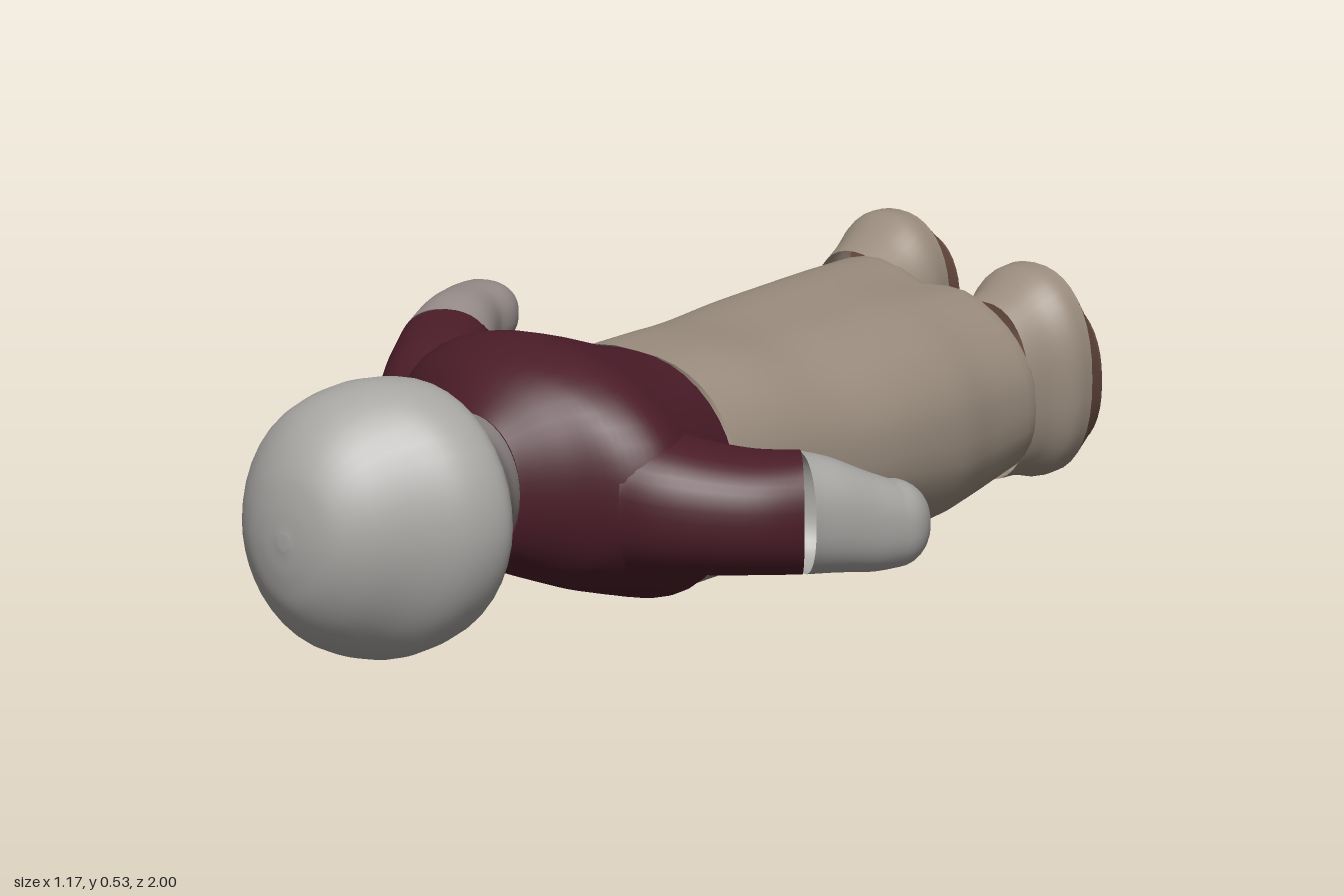
import * as THREE from 'three';

const COLORS = { skin: 0xa8a6a3, neck: 0x82797a, hand: 0x958b88, shirt: 0x4a1c28, trousers: 0x9a8c7e, shoe: 0x745448 };
const SIDES = 40;

// Skin a smooth surface over cross-sections [x, y, z, halfWidth, halfHeight, groove, tilt].
// cap0 / cap1 are the lengths of the rounded ends (0 leaves the end open);
// top and bottom square off the upper and lower half of the section.
function loft(name, color, rows, { cap0 = 0, cap1 = 0, top = 2.3, bottom = 2.3, straight = true } = {}) {
  const curve = pick => new THREE.CatmullRomCurve3(rows.map(r => new THREE.Vector3(...pick(r))), false, 'catmullrom', 0.5);
  const spine = curve(r => [r[0], r[1], r[2]]);
  const size = curve(r => [r[3], r[4], 0]);
  const extra = curve(r => [r[5] ?? 0, r[6] ?? 0, 0]);

  // Stations along the spine: t, scale and offset along the direction of travel
  const stations = [];
  const CAP = 8, STEPS = (rows.length - 1) * 6;
  const capStation = (t, i, length) => {
    const a = (i / CAP) * Math.PI / 2;
    return [t, Math.max(Math.sin(a), 0.002), length * Math.cos(a)];
  };
  if (cap0) for (let i = 0; i < CAP; i++) stations.push(capStation(0, i, -cap0));
  for (let i = 0; i <= STEPS; i++) stations.push([i / STEPS, 1, 0]);
  if (cap1) for (let i = CAP - 1; i >= 0; i--) stations.push(capStation(1, i, cap1));

  const up = new THREE.Vector3(0, 1, 0);
  const pos = [], index = [];
  stations.forEach(([t, scale, offset], i) => {
    const c = spine.getPoint(t), s = size.getPoint(t), e = extra.getPoint(t);
    const dir = straight ? new THREE.Vector3(0, 0, 1) : spine.getTangent(t).setY(0).normalize();
    const side = new THREE.Vector3().crossVectors(up, dir);
    c.addScaledVector(dir, offset);
    for (let j = 0; j < SIDES; j++) {
      const a = (j / SIDES) * Math.PI * 2;
      const power = Math.sin(a) > 0 ? top : bottom;
      const bend = v => Math.sign(v) * Math.pow(Math.abs(v), 2 / power);
      const u = bend(Math.cos(a));
      const dent = 1 - e.x * Math.exp(-u * u / 0.05);
      const p = c.clone().addScaledVector(side, u * s.x * scale);
      p.y += (bend(Math.sin(a)) * s.y * dent + e.y * u) * scale;
      pos.push(p.x, p.y, p.z);
      if (i < stations.length - 1) {
        const k = i * SIDES + j, n = i * SIDES + (j + 1) % SIDES;
        index.push(k, n, k + SIDES, n, n + SIDES, k + SIDES);
      }
    }
  });
  const geo = new THREE.BufferGeometry();
  geo.setAttribute('position', new THREE.Float32BufferAttribute(pos, 3));
  geo.setIndex(index);
  geo.computeVertexNormals();
  const mesh = new THREE.Mesh(geo, new THREE.MeshStandardMaterial({ color, side: THREE.DoubleSide }));
  mesh.name = name;
  return mesh;
}

// Soft rounded lump
function lump(name, color, [x, y, z], [rx, ry, rz], turn = 0) {
  const mesh = new THREE.Mesh(new THREE.SphereGeometry(1, 32, 20), new THREE.MeshStandardMaterial({ color }));
  mesh.name = name;
  mesh.position.set(x, y, z);
  mesh.scale.set(rx, ry, rz);
  mesh.rotation.z = turn;
  return mesh;
}

export function createModel() {
  const g = new THREE.Group();
  g.name = 'lyingFigure';

  // Sections shared by neighbouring parts, so their edges meet
  const collar = [-0.02, 0.285, 0.50, 0.12, 0.135];
  const jaw = [-0.01, 0.285, 0.62, 0.187, 0.185];
  const waist = [-0.025, 0.228, 0.04, 0.243, 0.221, 0.01, -0.01];
  const rightCuff = [-0.45, 0.37, 0.08, 0.09, 0.09];
  const leftCuff = [0.435, 0.237, 0.11, 0.102, 0.112];
  const rightInstep = [-0.24, 0.335, -0.92, 0.122, 0.155];
  const leftInstep = [0.095, 0.255, -0.91, 0.141, 0.195];
  const torsoShape = { top: 2.4, bottom: 2.15 };
  const headShape = { top: 2.0, bottom: 1.9 };

  // Neck and head, crown towards +z
  g.add(loft('neck', COLORS.neck, [
    collar,
    [-0.025, 0.285, 0.535, 0.14, 0.132],
    [-0.022, 0.285, 0.575, 0.168, 0.152],
    jaw,
  ], headShape));
  g.add(loft('head', COLORS.skin, [
    jaw,
    [0.01, 0.285, 0.66, 0.213, 0.225],
    [0.02, 0.285, 0.71, 0.238, 0.248],
    [0.0, 0.278, 0.79, 0.238, 0.258],
    [-0.03, 0.275, 0.87, 0.202, 0.233],
    [-0.035, 0.272, 0.93, 0.157, 0.188],
    [-0.035, 0.27, 0.97, 0.108, 0.132],
    [-0.035, 0.27, 0.988, 0.062, 0.075],
    [-0.035, 0.27, 0.995, 0.018, 0.02],
  ], { ...headShape, cap1: 0.001 }));

  // Shirt body, from waist to neck
  g.add(loft('shirt', COLORS.shirt, [
    waist,
    [-0.02, 0.235, 0.10, 0.266, 0.228, 0, -0.015],
    [-0.025, 0.265, 0.20, 0.315, 0.23, 0, -0.025],
    [-0.015, 0.292, 0.30, 0.335, 0.228, 0, -0.025],
    [-0.015, 0.30, 0.38, 0.29, 0.208, 0, -0.02],
    [-0.02, 0.297, 0.44, 0.205, 0.18, 0, -0.01],
    collar,
  ], { top: 2.1, bottom: 2.15 }));

  // Trousers: both legs joined, with a crease that deepens to the ankles
  g.add(loft('trousers', COLORS.trousers, [
    [-0.06, 0.25, -0.78, 0.275, 0.185, 0.14, -0.035],
    [-0.055, 0.235, -0.66, 0.282, 0.205, 0.07, -0.03],
    [-0.045, 0.228, -0.55, 0.292, 0.214, 0.04, -0.025],
    [-0.04, 0.232, -0.40, 0.293, 0.207, 0.03, -0.02],
    [-0.035, 0.228, -0.25, 0.279, 0.209, 0.02, -0.015],
    [-0.025, 0.232, -0.10, 0.257, 0.216, 0.01, -0.01],
    waist,
  ], { ...torsoShape, cap0: 0.03 }));

  // Arms: sleeve and hand on each side, the right one raised a little
  g.add(loft('rightSleeve', COLORS.shirt, [
    [-0.22, 0.265, 0.29, 0.135, 0.15],
    [-0.29, 0.26, 0.25, 0.138, 0.148],
    [-0.375, 0.307, 0.175, 0.117, 0.135],
    rightCuff,
  ], { straight: false }));
  g.add(loft('rightHand', COLORS.hand, [
    rightCuff,
    [-0.48, 0.393, 0.02, 0.076, 0.08],
    [-0.505, 0.405, -0.04, 0.066, 0.068],
    [-0.515, 0.41, -0.09, 0.068, 0.06],
  ], { straight: false, cap1: 0.065 }));
  g.add(loft('leftSleeve', COLORS.shirt, [
    [0.20, 0.26, 0.28, 0.135, 0.14],
    [0.27, 0.25, 0.25, 0.133, 0.125],
    [0.365, 0.24, 0.18, 0.123, 0.113],
    leftCuff,
  ], { straight: false }));
  g.add(loft('leftHand', COLORS.skin, [
    leftCuff,
    [0.467, 0.228, 0.06, 0.084, 0.105],
    [0.495, 0.21, 0.0, 0.074, 0.093],
    [0.513, 0.2, -0.05, 0.07, 0.081],
  ], { straight: false, cap1: 0.07 }));

  // Right ankle and foot, splayed to two sides below
  g.add(loft('rightAnkle', COLORS.trousers, [
    rightInstep,
    [-0.235, 0.333, -0.88, 0.122, 0.157],
    [-0.23, 0.31, -0.83, 0.112, 0.152],
    [-0.225, 0.29, -0.78, 0.105, 0.15],
  ]));
  g.add(loft('rightSole', COLORS.shoe, [
    [-0.235, 0.325, -0.965, 0.098, 0.122],
    rightInstep,
  ], { cap0: 0.033 }));
  g.add(lump('rightToe', COLORS.shoe, [-0.325, 0.245, -0.905], [0.125, 0.09, 0.085], 0.5));
  g.add(lump('rightHeel', COLORS.shoe, [-0.20, 0.215, -0.92], [0.10, 0.08, 0.07], -0.4));

  // Left ankle and foot
  g.add(loft('leftAnkle', COLORS.trousers, [
    leftInstep,
    [0.095, 0.252, -0.875, 0.138, 0.193],
    [0.095, 0.245, -0.83, 0.118, 0.175],
    [0.09, 0.235, -0.78, 0.11, 0.165],
  ]));
  g.add(loft('leftSole', COLORS.shoe, [
    [0.095, 0.235, -0.965, 0.112, 0.142],
    leftInstep,
  ], { cap0: 0.034 }));

  return g;
}
